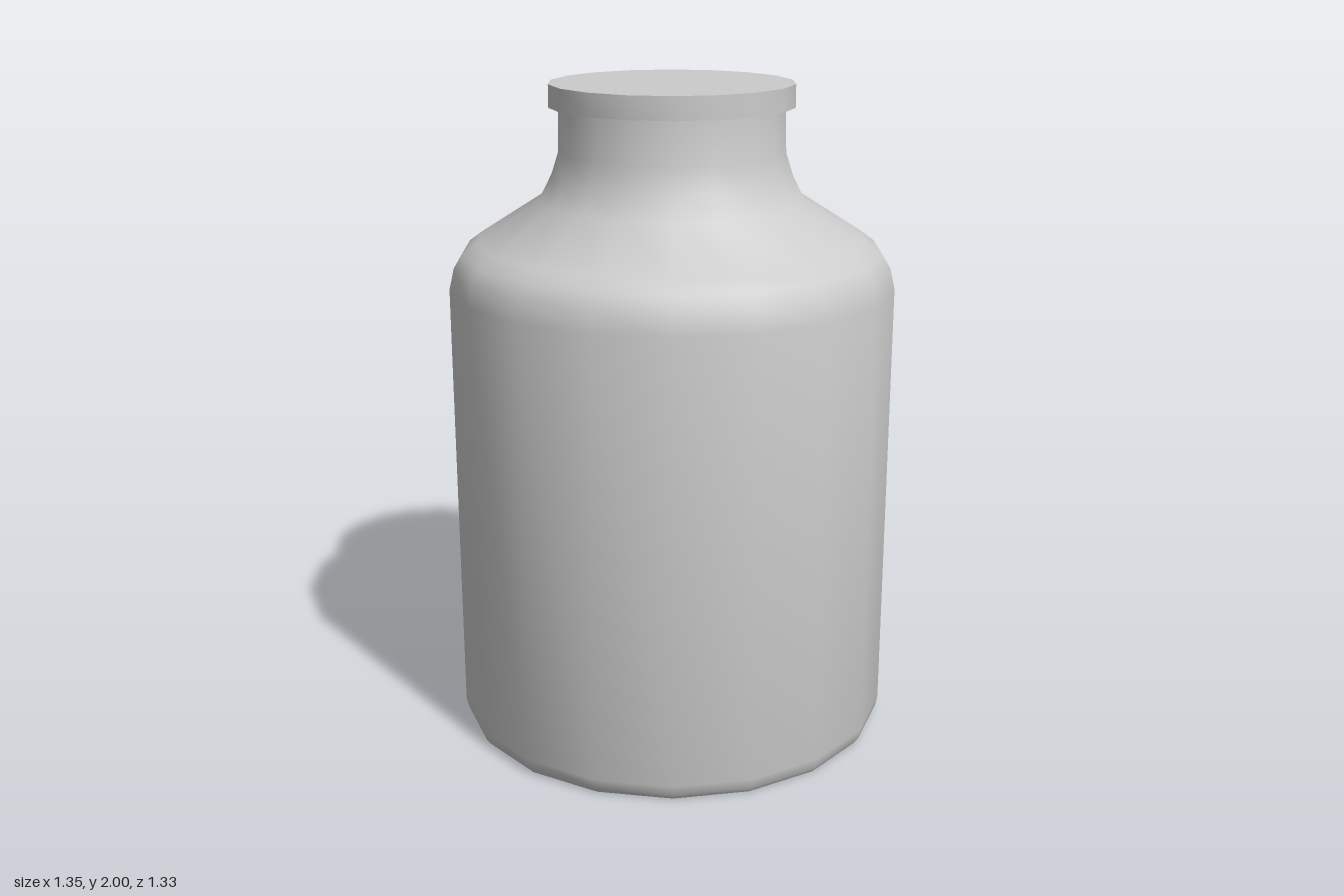
import * as THREE from 'three';
import { toCreasedNormals } from 'three/addons/utils/BufferGeometryUtils.js';

const SIDES = 18;
const material = new THREE.MeshStandardMaterial({ color: 0xcccccc });

// Revolve a [radius, height] profile, listed from bottom to top, with a corner on the x axis
function turned(name, profile) {
  const points = profile.map(([r, y]) => new THREE.Vector2(r, y));
  const lathe = new THREE.LatheGeometry(points, SIDES, Math.PI / 2);
  const mesh = new THREE.Mesh(toCreasedNormals(lathe, 0.8), material);
  mesh.name = name;
  return mesh;
}

export function createModel() {
  const group = new THREE.Group();
  group.name = 'bottle';

  // Base, straight wall, rounded shoulder and neck
  group.add(turned('body', [
    [0, 0], [0.655, 0], [0.668, 0.018], [0.675, 0.05],
    [0.675, 1.4], [0.66, 1.465], [0.635, 1.505], [0.59, 1.538],
    [0.402, 1.658], [0.365, 1.73], [0.342, 1.8], [0.338, 1.94],
  ]));

  // Flat lid overhanging the neck
  group.add(turned('lid', [
    [0, 1.932], [0.367, 1.932], [0.367, 2], [0, 2],
  ]));

  return group;
}
